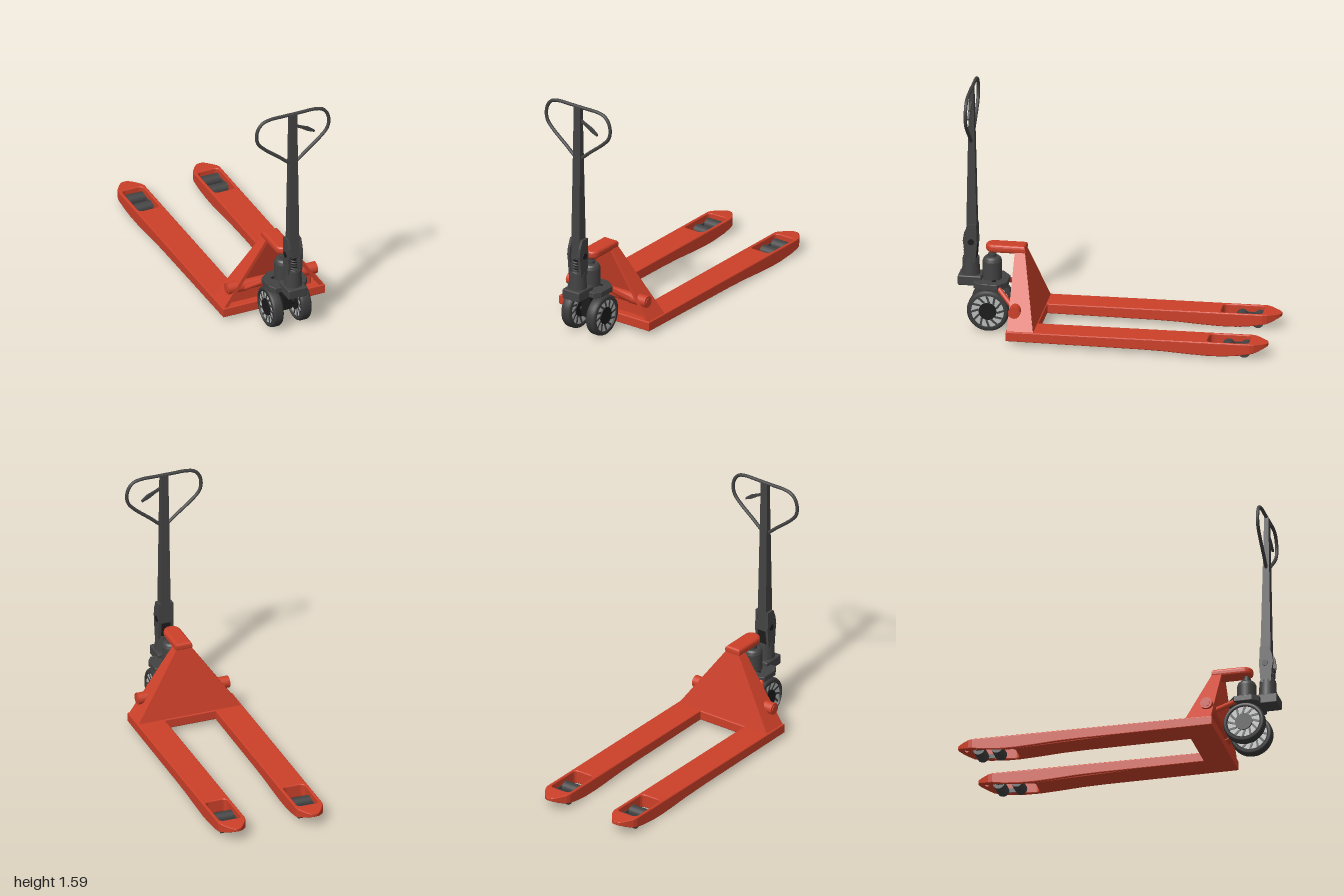
import * as THREE from 'three';
import { RoundedBoxGeometry } from 'three/addons/geometries/RoundedBoxGeometry.js';

const mat = (name, color, side = THREE.FrontSide) => new THREE.MeshStandardMaterial({ name, color, side });
const red = mat('red paint', 0xcc4029);
const dark = mat('dark grey metal', 0x434343);
const rubber = mat('tyre rubber', 0x3a3a3a);
const black = mat('black', 0x1b1b1b);
const silver = mat('rim silver', 0xb9bbbb, THREE.DoubleSide);

const V = (x, y, z) => new THREE.Vector3(x, y, z);

// linear interpolation through [key, value] stops in rising order
function ramp(stops, k) {
  for (let i = 1; i < stops.length; i++) {
    const [a, va] = stops[i - 1], [b, vb] = stops[i];
    if (k <= b) return va + (vb - va) * Math.max(0, (k - a) / (b - a));
  }
  return stops[stops.length - 1][1];
}

// six-sided block between a lower and an upper rectangle [x0, x1, z0, z1]
function slab(y0, lower, y1, upper) {
  const g = new THREE.BoxGeometry(1, 1, 1), p = g.attributes.position;
  for (let i = 0; i < p.count; i++) {
    const r = p.getY(i) < 0 ? lower : upper;
    p.setXYZ(i, p.getX(i) < 0 ? r[0] : r[1], p.getY(i) < 0 ? y0 : y1, p.getZ(i) < 0 ? r[2] : r[3]);
  }
  g.computeVertexNormals();
  return g;
}

// plan outline (x, z) extruded downwards with a small bevel
function plan(shape, depth, bevel) {
  return new THREE.ExtrudeGeometry(shape, {
    depth, bevelEnabled: bevel > 0, bevelSize: bevel, bevelThickness: bevel, bevelSegments: 3, curveSegments: 10,
  }).rotateX(Math.PI / 2);
}

// round bar between two points
function rod(a, b, r, r2 = r) {
  const d = b.clone().sub(a), g = new THREE.CylinderGeometry(r2, r, d.length(), 20);
  g.applyQuaternion(new THREE.Quaternion().setFromUnitVectors(V(0, 1, 0), d.normalize()));
  return g.translate((a.x + b.x) / 2, (a.y + b.y) / 2, (a.z + b.z) / 2);
}

function roundedRect(x, z0, z1, r) {
  const p = new THREE.Path();
  p.moveTo(-x + r, z0).lineTo(x - r, z0).quadraticCurveTo(x, z0, x, z0 + r);
  p.lineTo(x, z1 - r).quadraticCurveTo(x, z1, x - r, z1);
  p.lineTo(-x + r, z1).quadraticCurveTo(-x, z1, -x, z1 - r);
  p.lineTo(-x, z0 + r).quadraticCurveTo(-x, z0, -x + r, z0);
  return p;
}

// fork blade with pointed tip, roller opening and a belly near the tip
function forkGeometry() {
  const half = [[0.642, 0.083], [0.3, 0.083], [0, 0.083], [-0.2, 0.083], [-0.35, 0.083], [-0.5, 0.083], [-0.62, 0.083],
    [-0.72, 0.083], [-0.82, 0.083], [-0.89, 0.083], [-0.915, 0.076], [-0.945, 0.056], [-0.97, 0.037], [-0.985, 0.022], [-0.991, 0.008]];
  const pts = half.map(([z, x]) => new THREE.Vector2(x, z));
  half.slice().reverse().forEach(([z, x]) => pts.push(new THREE.Vector2(-x, z)));
  const shape = new THREE.Shape(pts);
  shape.holes.push(roundedRect(0.079, -0.892, -0.612, 0.04));
  const g = plan(shape, 0.07, 0.008), p = g.attributes.position;
  const top = [[-1, 0.094], [-0.9, 0.105], [0.65, 0.093]];
  const bottom = [[-1, 0.075], [-0.93, 0.045], [-0.8, 0.02], [-0.68, 0.01], [-0.56, 0.013], [-0.3, 0.028], [0.65, 0.03]];
  for (let i = 0; i < p.count; i++) {
    const t = (p.getY(i) + 0.078) / 0.086, z = p.getZ(i);
    p.setY(i, THREE.MathUtils.lerp(ramp(bottom, z), ramp(top, z), t));
  }
  g.computeVertexNormals();
  return g;
}

export function createModel() {
  const model = new THREE.Group();
  const add = (name, geo, material, parent = model) => {
    const m = new THREE.Mesh(geo, material);
    m.name = name;
    parent.add(m);
    return m;
  };
  const box = (name, x, y, z, cx, cy, cz, material, r = 0.008) =>
    add(name, new RoundedBoxGeometry(x, y, z, 2, r).translate(cx, cy, cz), material);
  const crossRod = (name, x0, x1, y, z, r, material, parent) =>
    add(name, rod(V(x0, y, z), V(x1, y, z), r), material, parent);

  // forks with their load rollers
  const blade = forkGeometry();
  for (const s of [-1, 1]) {
    const fork = new THREE.Group();
    fork.name = s > 0 ? 'leftFork' : 'rightFork';
    fork.position.x = s * 0.26;
    model.add(fork);
    add('forkBlade', blade, red, fork);
    for (const z of [-0.74, -0.855]) {
      crossRod('loadRoller', -0.062, 0.062, 0.043, z, 0.038, dark, fork);
      crossRod('rollerPin', -0.082, 0.082, 0.043, z, 0.012, black, fork);
    }
    for (const x of [-0.068, 0.068])
      add('rollerLink', new THREE.BoxGeometry(0.008, 0.028, 0.15).translate(x, 0.045, -0.797), dark, fork);
    crossRod('entryRoller', -0.03, 0.03, 0.058, -0.935, 0.016, red, fork);
  }

  // cross base and the triangular tower, open to the front
  box('crossBase', 0.7, 0.064, 0.18, 0, 0.062, 0.56, red);
  add('towerBack', slab(0.085, [-0.345, 0.345, 0.475, 0.5], 0.51, [-0.052, 0.052, 0.575, 0.6]), red);
  for (const s of [-1, 1]) {
    const span = (a, b, z0, z1) => [Math.min(s * a, s * b), Math.max(s * a, s * b), z0, z1];
    add('towerSide', slab(0.085, span(0.318, 0.347, 0.477, 0.642), 0.51, span(0.03, 0.054, 0.576, 0.64)), red);
    crossRod('torsionEnd', s * 0.18, s * 0.307, 0.205, 0.603, 0.038, red);
    crossRod('torsionEndHub', s * 0.3, s * 0.311, 0.205, 0.603, 0.025, red);
    add('pushLink', rod(V(s * 0.2, 0.19, 0.62), V(s * 0.1, 0.29, 0.74), 0.016), red);
  }
  crossRod('torsionTube', -0.2, 0.2, 0.205, 0.603, 0.033, red);
  box('towerSill', 0.56, 0.085, 0.08, 0, 0.13, 0.56, red);

  // arm over the pump
  const arm = new THREE.Shape();
  arm.moveTo(-0.037, 0.593).lineTo(0.037, 0.593).lineTo(0.037, 0.775);
  arm.absarc(0, 0.775, 0.037, 0, Math.PI, false);
  arm.lineTo(-0.037, 0.593);
  add('topArm', plan(arm, 0.016, 0.018).translate(0, 0.533, 0), red);

  // hydraulic pump
  const pump = [[0, 0.29], [0.06, 0.29], [0.061, 0.43], [0.055, 0.448], [0.045, 0.458], [0.026, 0.46], [0.026, 0.48], [0.017, 0.482], [0.017, 0.51], [0, 0.51]];
  add('pump', new THREE.LatheGeometry(pump.flatMap(([r, y]) => [new THREE.Vector2(r, y), new THREE.Vector2(r, y)]), 28).translate(0, 0, 0.79), dark);

  // steering bracket
  const plate = new THREE.Shape([[-0.06, 0.69], [0.06, 0.69], [0.127, 0.74], [0.127, 0.85], [0.1, 0.89], [-0.1, 0.89], [-0.127, 0.85], [-0.127, 0.74]]
    .map(([x, z]) => new THREE.Vector2(x, z)));
  add('steerPlate', plan(plate, 0.03, 0.004).translate(0, 0.311, 0), dark);
  box('steerBlock', 0.13, 0.065, 0.15, 0, 0.308, 0.925, dark);
  box('steerColumn', 0.07, 0.19, 0.09, 0, 0.2, 0.8, black);
  crossRod('axle', -0.12, 0.12, 0.135, 0.8, 0.022, black);
  crossRod('plateBolt', -0.075, 0.075, 0.3, 0.77, 0.02, black);

  // steering wheels
  const lathe = (pts) => new THREE.LatheGeometry(pts.map(([r, h]) => new THREE.Vector2(r, h)), 40).rotateZ(Math.PI / 2);
  const tyre = lathe([[0.104, -0.035], [0.104, -0.035], [0.12, -0.035], [0.128, -0.03], [0.133, -0.019], [0.133, 0.019], [0.128, 0.03], [0.12, 0.035], [0.104, 0.035], [0.104, -0.035]]);
  for (const s of [-1, 1]) {
    const wheel = new THREE.Group();
    wheel.name = s > 0 ? 'leftSteerWheel' : 'rightSteerWheel';
    wheel.position.set(s * 0.096, 0.135, 0.8);
    model.add(wheel);
    add('tyre', tyre, rubber, wheel);
    crossRod('hub', -0.034, 0.034, 0, 0, 0.056, black, wheel);
    for (const f of [-1, 1]) {
      add('rim', new THREE.RingGeometry(0.05, 0.106, 40).rotateY(f * Math.PI / 2).translate(f * 0.026, 0, 0), silver, wheel);
      for (let i = 0; i < 12; i++) {
        const spoke = new THREE.BoxGeometry(0.006, 0.05, 0.013).rotateX(0.35).translate(f * 0.026, 0.08, 0);
        add('rimSpoke', spoke.rotateX(i * Math.PI / 6), dark, wheel);
      }
    }
  }

  // tiller base, cheeks and return spring
  add('tillerBase', rod(V(0, 0.33, 0.925), V(0, 0.45, 0.925), 0.058, 0.052), dark);
  const cheek = new THREE.Shape([[0.89, 0.43], [0.955, 0.43], [0.962, 0.52], [0.97, 0.57], [0.962, 0.62], [0.94, 0.675], [0.885, 0.675], [0.88, 0.55]]
    .map(([z, y]) => new THREE.Vector2(-z, y)));
  for (const s of [-1, 1]) {
    const g = new THREE.ExtrudeGeometry(cheek, { depth: 0.018, bevelEnabled: false });
    add('tillerCheek', g.rotateY(Math.PI / 2).translate(s * 0.04 - 0.009, 0, 0), dark);
  }
  box('tillerHinge', 0.07, 0.14, 0.05, 0, 0.5, 0.91, black);
  crossRod('tillerPivot', -0.053, 0.053, 0.562, 0.918, 0.02, black);
  const coil = [];
  for (let i = 0; i <= 60; i++) {
    const a = i / 60 * Math.PI * 10;
    coil.push(V(0.026 * Math.cos(a), 0.45 + 0.09 * i / 60, 0.945 + 0.022 * Math.sin(a)));
  }
  add('returnSpring', new THREE.TubeGeometry(new THREE.CatmullRomCurve3(coil), 160, 0.005, 6), dark);

  // tapered pole
  add('tillerPole', slab(0.54, [-0.033, 0.033, 0.882, 0.952], 1.575, [-0.025, 0.025, 0.907, 0.934]), dark);

  // looped handle and its release lever
  const loop = [];
  for (const [x, y] of [[0.01, 1.222], [0.1, 1.293], [0.2, 1.375], [0.238, 1.42], [0.249, 1.47], [0.237, 1.525], [0.205, 1.562], [0.155, 1.576], [0.05, 1.577]])
    loop.push(V(x, y, 0.92));
  const full = loop.concat(loop.slice().reverse().map((p) => V(-p.x, p.y, p.z)));
  add('handleLoop', new THREE.TubeGeometry(new THREE.CatmullRomCurve3(full, true, 'centripetal'), 140, 0.011, 10, true), dark);
  const lever = new THREE.Shape([[0.015, 1.5], [0.06, 1.477], [0.11, 1.456], [0.15, 1.424], [0.148, 1.412], [0.1, 1.432], [0.055, 1.462], [0.015, 1.482]]
    .map(([x, y]) => new THREE.Vector2(x, y)));
  add('releaseLever', new THREE.ExtrudeGeometry(lever, { depth: 0.014, bevelEnabled: false }).translate(0, 0, 0.913), dark);

  return model;
}
